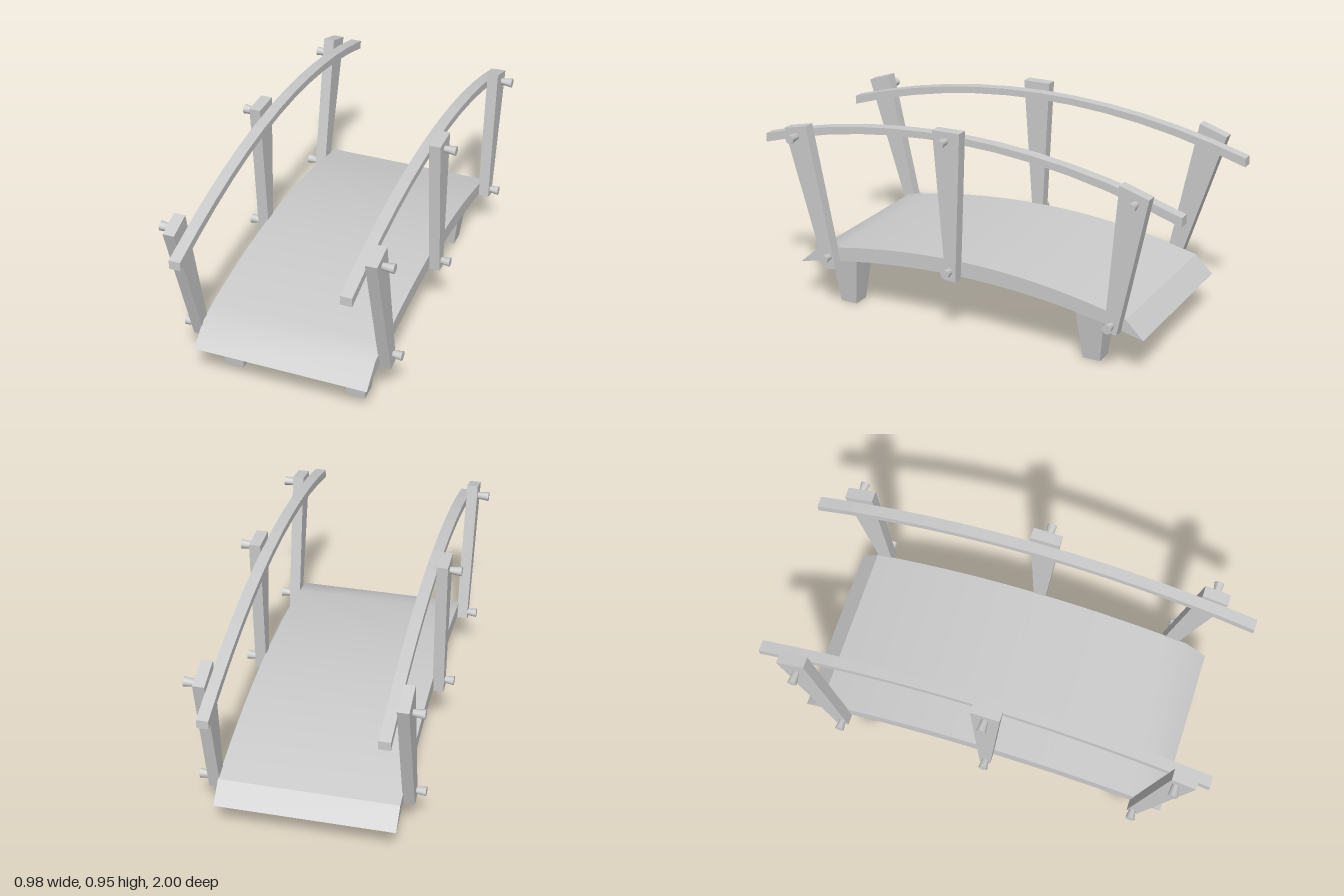
import * as THREE from 'three';
import { toCreasedNormals } from 'three/addons/utils/BufferGeometryUtils.js';

const material = new THREE.MeshStandardMaterial({ color: 0xcccccc });

// Extrudes a side profile of [z, y] points across x from x0 to x1.
function slab(profile, x0, x1, crease = 0) {
  const shape = new THREE.Shape(profile.map(([z, y]) => new THREE.Vector2(z, y)));
  const geometry = new THREE.ExtrudeGeometry(shape, { depth: x1 - x0, bevelEnabled: false });
  geometry.rotateY(-Math.PI / 2).translate(x1, 0, 0);
  return crease ? toCreasedNormals(geometry, crease) : geometry;
}

// Samples y = f(z) from z0 to z1.
function sample(f, z0, z1, n) {
  return Array.from({ length: n + 1 }, (_, i) => {
    const z = z0 + ((z1 - z0) * i) / n;
    return [z, f(z)];
  });
}

function add(parent, name, geometry) {
  const mesh = new THREE.Mesh(geometry, material);
  mesh.name = name;
  parent.add(mesh);
  return mesh;
}

export function createModel() {
  const bridge = new THREE.Group();
  bridge.name = 'footbridge';

  // Arched deck with a sloping lip at each end
  const top = (z) => 0.355 - (z > 0 ? 0.146 : 0.1665) * z * z;
  const under = (z) => 0.285 - (z > 0 ? 0.135 : 0.148) * z * z;
  const deck = [...sample(top, -0.775, 0.74, 14), ...sample(under, 0.84, -0.857, 14)];
  add(bridge, 'deck', slab(deck, -0.39, 0.39, THREE.MathUtils.degToRad(30.3)));

  // Tapered square feet
  for (const x of [-0.285, 0.28]) {
    for (const z of [0.635, -0.593]) {
      const foot = new THREE.CylinderGeometry(0.071 * Math.SQRT2, 0.04 * Math.SQRT2, 0.26, 4).toNonIndexed();
      foot.rotateY(Math.PI / 4).translate(x, 0.13, z);
      foot.computeVertexNormals();
      add(bridge, 'foot', foot);
    }
  }

  // Each post: four [z, y] corners (top pair, bottom pair) and its two peg positions
  const sides = [
    {
      name: 'left', sign: 1, tilt: 0.018,
      posts: [
        { corners: [[0.862, 0.84], [0.747, 0.865], [0.622, 0.212], [0.68, 0.2]], pegs: [[0.8, 0.81], [0.655, 0.265]] },
        { corners: [[0.105, 0.948], [-0.025, 0.95], [0.002, 0.275], [0.05, 0.278]], pegs: [[0.043, 0.908], [0.03, 0.322]] },
        { corners: [[-0.75, 0.852], [-0.88, 0.812], [-0.755, 0.195], [-0.7, 0.21]], pegs: [[-0.822, 0.785], [-0.73, 0.237]] },
      ],
    },
    {
      name: 'right', sign: -1, tilt: -0.004,
      posts: [
        { corners: [[0.945, 0.835], [0.838, 0.87], [0.695, 0.212], [0.742, 0.193]], pegs: [[0.86, 0.81], [0.72, 0.235]] },
        { corners: [[0.1, 0.95], [-0.028, 0.95], [0.002, 0.275], [0.05, 0.278]], pegs: [[0.035, 0.905], [0.03, 0.325]] },
        { corners: [[-0.765, 0.872], [-0.892, 0.83], [-0.692, 0.198], [-0.632, 0.212]], pegs: [[-0.81, 0.775], [-0.657, 0.25]] },
      ],
    },
  ];

  for (const { name, sign, tilt, posts } of sides) {
    const span = (a, b) => (sign > 0 ? [a, b] : [-b, -a]);

    // Arched handrail
    const railTop = (z) => 0.916 - 0.155 * z * z + tilt * z;
    const railUnder = (z) => railTop(z) - 0.03 - 0.01 * z * z;
    const rail = [...sample(railTop, -1, 1, 12), ...sample(railUnder, 1, -1, 12)];
    add(bridge, name + 'Handrail', slab(rail, ...span(0.338, 0.388)));

    for (const { corners, pegs } of posts) {
      // Post, wider at the top
      add(bridge, name + 'Post', slab(corners, ...span(0.387, 0.437)));

      // Flared pegs on the outer face
      pegs.forEach(([z, y], i) => {
        const length = i === 0 ? 0.065 : 0.055;
        const peg = new THREE.CylinderGeometry(0.021, 0.013, length, 12);
        peg.rotateZ((-sign * Math.PI) / 2).translate(sign * (0.424 + length / 2), y, z);
        add(bridge, name + 'Peg', toCreasedNormals(peg, 0.8));
      });
    }
  }
  return bridge;
}
